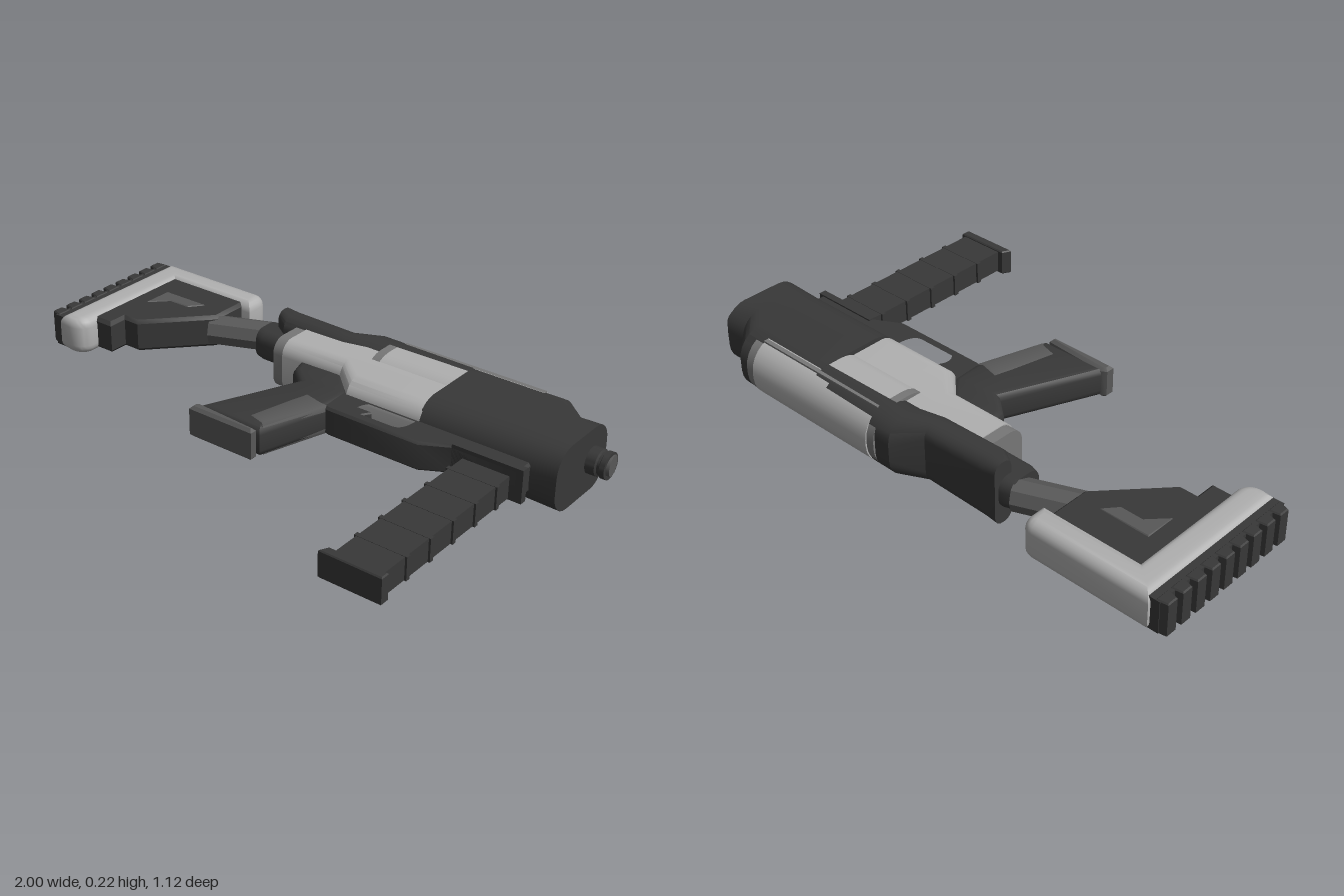
import * as THREE from 'three';
import { toCreasedNormals } from 'three/addons/utils/BufferGeometryUtils.js';

const material = (color) => new THREE.MeshStandardMaterial({ color, roughness: 0.8 });
const dark = material(0x383838), mid = material(0x585858), steel = material(0x777777), pale = material(0xb0b0b0);

export function createModel() {
  const group = new THREE.Group();

  const add = (name, geometry, mat, x = 0, y = 0, z = 0) => {
    const mesh = new THREE.Mesh(geometry, mat);
    mesh.name = name;
    mesh.position.set(x, y, z);
    group.add(mesh);
    return mesh;
  };

  // Box given by its limits
  const box = (name, mat, [x0, x1], [y0, y1], [z0, z1]) =>
    add(name, new THREE.BoxGeometry(x1 - x0, y1 - y0, z1 - z0), mat, (x0 + x1) / 2, (y0 + y1) / 2, (z0 + z1) / 2);

  // Outline of [x, z] points extruded upward from y0 to y1 with bevelled rims
  const toShape = (s) => (s instanceof THREE.Shape ? s : new THREE.Shape(s.map(([x, z]) => new THREE.Vector2(x, -z))));
  const plate = (name, mat, outline, y0, y1, bevel = 0.01, segments = 1) => {
    const geo = new THREE.ExtrudeGeometry(toShape(outline), {
      depth: y1 - y0 - 2 * bevel, bevelEnabled: bevel > 0, bevelSize: bevel, bevelThickness: bevel,
      bevelOffset: -bevel, bevelSegments: segments, curveSegments: 8,
    });
    geo.translate(0, 0, y0 + bevel);
    geo.rotateX(-Math.PI / 2);
    return add(name, toCreasedNormals(geo, 0.6), mat);
  };

  // Rounded-rectangle sections [x, zBack, zFront, radius] joined along x
  const loft = (name, mat, rows, y0, y1) => {
    const pos = [], index = [], steps = 6, n = 4 * (steps + 1);
    rows.forEach(([x, z0, z1, radius]) => {
      const r = Math.min(radius, (z1 - z0) / 2, (y1 - y0) / 2);
      for (let q = 0; q < 4; q++) for (let k = 0; k <= steps; k++) {
        const a = (q + k / steps) * Math.PI / 2;
        const cz = q === 0 || q === 3 ? z0 + r : z1 - r;
        const cy = q < 2 ? y1 - r : y0 + r;
        pos.push(x, cy + r * Math.sin(a), cz - r * Math.cos(a));
      }
    });
    for (let i = 0; i < rows.length - 1; i++) for (let j = 0; j < n; j++) {
      const a = i * n + j, b = i * n + (j + 1) % n;
      index.push(a, b, a + n, b, b + n, a + n);
    }
    const last = (rows.length - 1) * n;
    for (let j = 1; j < n - 1; j++) index.push(0, j + 1, j, last, last + j, last + j + 1);
    const geo = new THREE.BufferGeometry();
    geo.setAttribute('position', new THREE.Float32BufferAttribute(pos, 3));
    geo.setIndex(index);
    return add(name, toCreasedNormals(geo, 0.5), mat);
  };

  // Cylinder lying along x
  const rod = (name, mat, x0, x1, radius, sides = 24) => {
    const geo = new THREE.CylinderGeometry(radius, radius, x1 - x0, sides).rotateX(Math.PI / sides).rotateZ(Math.PI / 2);
    return add(name, sides < 12 ? toCreasedNormals(geo, 0.5) : geo, mat, (x0 + x1) / 2, 0.11, -0.38);
  };

  // Main housing
  loft('housing', dark, [
    [-0.31, -0.48, -0.41, 0.03], [-0.26, -0.48, -0.375, 0.04], [-0.02, -0.48, -0.375, 0.05],
    [0.07, -0.545, -0.375, 0.08], [0.435, -0.545, -0.375, 0.085], [0.436, -0.545, -0.165, 0.09],
    [0.77, -0.545, -0.165, 0.09], [0.85, -0.47, -0.165, 0.085], [0.93, -0.47, -0.165, 0.08],
  ], 0, 0.22);

  // Pale cover on the spine, with end bands and grooves
  loft('spineCover', pale, [[0.16, -0.557, -0.3, 0.1], [0.695, -0.557, -0.3, 0.1]], 0.001, 0.219);
  for (const [a, b] of [[0.13, 0.16], [0.695, 0.73]])
    loft('coverBand', steel, [[a, -0.552, -0.3, 0.098], [b, -0.552, -0.3, 0.098]], 0.001, 0.219);
  for (const y of [0.01, 0.21])
    box('coverGroove', steel, [0.16, 0.695], [y - 0.005, y + 0.005], [-0.5, -0.482]);

  // Pale receiver below the housing
  loft('receiver', pale, [
    [-0.17, -0.46, -0.255, 0.05], [0.07, -0.46, -0.255, 0.05],
    [0.16, -0.46, -0.168, 0.06], [0.44, -0.46, -0.168, 0.06],
  ], 0.015, 0.205);
  loft('receiverCap', steel, [[-0.21, -0.45, -0.258, 0.05], [-0.17, -0.45, -0.258, 0.05]], 0.018, 0.202);

  // Short open muzzle
  const bore = [[0.034, -0.04], [0.034, 0.025], [0.045, 0.025], [0.045, 0.008], [0.038, 0.004], [0.038, -0.004],
    [0.045, -0.008], [0.045, -0.04]].map(([r, h]) => new THREE.Vector2(r, -h));
  const muzzle = add('muzzle', toCreasedNormals(new THREE.LatheGeometry(bore, 28).rotateZ(Math.PI / 2), 0.5), dark, 0.97, 0.11, -0.38);
  muzzle.material = dark.clone();
  muzzle.material.side = THREE.DoubleSide;
  rod('barrelCore', mid, 0.9, 1.0, 0.035);

  // Guard with its opening, running into the magazine mount
  const guard = toShape([[0.06, -0.29], [0.16, -0.185], [0.84, -0.185], [0.84, -0.11], [0.6, -0.11],
    [0.51, -0.06], [0.17, -0.06], [0.02, -0.1]]);
  const opening = new THREE.Path();
  opening.moveTo(0.25, 0.17);
  opening.lineTo(0.44, 0.17);
  opening.quadraticCurveTo(0.44, 0.085, 0.39, 0.085);
  opening.lineTo(0.25, 0.085);
  opening.quadraticCurveTo(0.21, 0.12, 0.25, 0.17);
  guard.holes.push(opening);
  plate('guard', dark, guard, 0.06, 0.16, 0.008);
  plate('trigger', dark, [[0.2, -0.18], [0.27, -0.18], [0.24, -0.13], [0.25, -0.08], [0.21, -0.08]], 0.09, 0.13, 0.005);
  box('magazineLip', dark, [0.6, 0.85], [0.05, 0.165], [-0.135, -0.11]);

  // Magazine with ribs and base
  box('magazine', dark, [0.64, 0.805], [0.053, 0.13], [-0.15, 0.53]);
  for (let i = 0; i < 5; i++) {
    const z = -0.04 + i * 0.115;
    box('magazineRib', dark, [0.632, 0.812], [0.052, 0.131], [z - 0.008, z + 0.008]);
  }
  plate('magazineBase', dark, [[0.62, 0.525], [0.82, 0.525], [0.82, 0.557], [0.605, 0.557]], 0.045, 0.137, 0.004);

  // Grip with side inlays and base
  plate('grip', dark, [[-0.1, -0.265], [0.07, -0.28], [0.16, -0.18], [0.165, -0.08], [0.09, 0.18],
    [-0.16, 0.18], [-0.02, -0.15], [-0.08, -0.2]], 0.058, 0.164, 0.025, 3);
  plate('gripInlay', mid, [[0.06, -0.1], [0.163, -0.075], [0.09, 0.165], [0, 0.14], [0.04, -0.03]], 0.055, 0.167, 0.02, 2);
  plate('gripBase', mid, [[-0.155, 0.17], [0.08, 0.185], [0.08, 0.21], [-0.172, 0.21], [-0.172, 0.18]], 0.055, 0.166, 0.01);

  // Extension tube and collar
  rod('extensionTube', mid, -0.56, -0.33, 0.054, 8);
  loft('collar', dark, [[-0.35, -0.455, -0.335, 0.04], [-0.32, -0.465, -0.325, 0.04], [-0.2, -0.465, -0.325, 0.04]], 0.055, 0.165);

  // Pale L-shaped stock frame
  const frame = new THREE.Shape();
  frame.moveTo(-0.945, 0.56);
  frame.lineTo(-0.525, 0.56);
  frame.quadraticCurveTo(-0.482, 0.56, -0.482, 0.51);
  frame.lineTo(-0.482, 0.46);
  frame.lineTo(-0.835, 0.46);
  frame.lineTo(-0.835, 0.03);
  frame.quadraticCurveTo(-0.845, -0.02, -0.9, -0.02);
  frame.lineTo(-0.945, -0.015);
  frame.closePath();
  plate('stockFrame', pale, frame, 0.042, 0.18, 0.035, 5);

  // Dark stock web with a raised panel on both faces
  plate('stockWeb', dark, [[-0.87, -0.49], [-0.52, -0.49], [-0.52, -0.33], [-0.71, -0.125], [-0.77, -0.125],
    [-0.77, -0.055], [-0.87, -0.055]], 0.052, 0.17, 0.012);
  plate('stockPanel', mid, [[-0.79, -0.37], [-0.61, -0.37], [-0.65, -0.32], [-0.73, -0.32], [-0.79, -0.26]], 0.049, 0.173, 0.004);

  // Ribbed butt pad
  box('buttPad', dark, [-0.975, -0.93], [0.055, 0.167], [-0.55, 0.008]);
  for (let i = 0; i < 9; i++) {
    const z = -0.52 + i * 0.0625;
    plate('buttRib', dark, [[-0.96, z - 0.03], [-1, z - 0.024], [-1, z + 0.014], [-0.96, z + 0.026]], 0.052, 0.17, 0.004);
  }
  return group;
}
